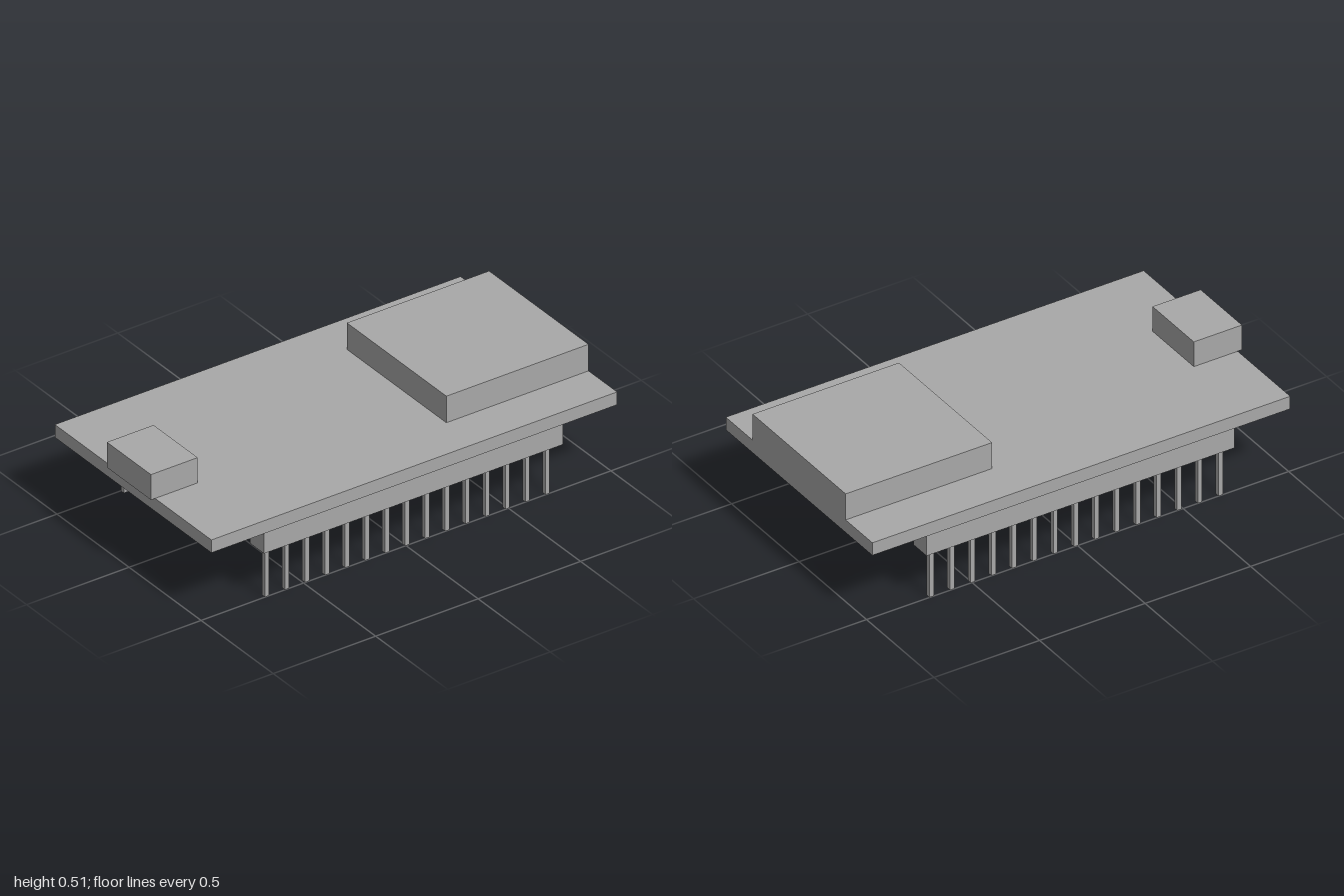
import * as THREE from 'three';

const grey = new THREE.MeshStandardMaterial({ color: 0xa8a8a8 });
grey.name = 'plain grey';

// Box given by its lower and upper limits on each axis
function block(name, [x0, x1], [y0, y1], [z0, z1]) {
  const mesh = new THREE.Mesh(new THREE.BoxGeometry(x1 - x0, y1 - y0, z1 - z0), grey);
  mesh.position.set((x0 + x1) / 2, (y0 + y1) / 2, (z0 + z1) / 2);
  mesh.name = name;
  return mesh;
}

// Header strip with its row of square pins
function pinHeader(name, z) {
  const header = new THREE.Group();
  header.name = name;
  header.add(block('headerStrip', [-0.72, 0.74], [0.233, 0.33], [z - 0.049, z + 0.049]));
  const count = 15, first = -0.678, pitch = 0.0978, half = 0.0105;
  for (let i = 0; i < count; i++) {
    const x = first + i * pitch;
    header.add(block(`pin${i + 1}`, [x - half, x + half], [0, 0.233], [z - half, z + half]));
  }
  return header;
}

export function createModel() {
  const model = new THREE.Group();
  model.name = 'circuitBoardModule';

  // Board
  model.add(block('board', [-0.98, 1], [0.33, 0.39], [-0.543, 0.543]));

  // Parts on top: small connector overhanging one end, large module flush with the other
  model.add(block('connector', [-1, -0.772], [0.39, 0.508], [-0.154, 0.152]));
  model.add(block('shieldedModule', [0.306, 1], [0.39, 0.514], [-0.345, 0.345]));

  // Pin rows along both long edges
  model.add(pinHeader('frontPinHeader', 0.489));
  model.add(pinHeader('backPinHeader', -0.489));
  return model;
}
